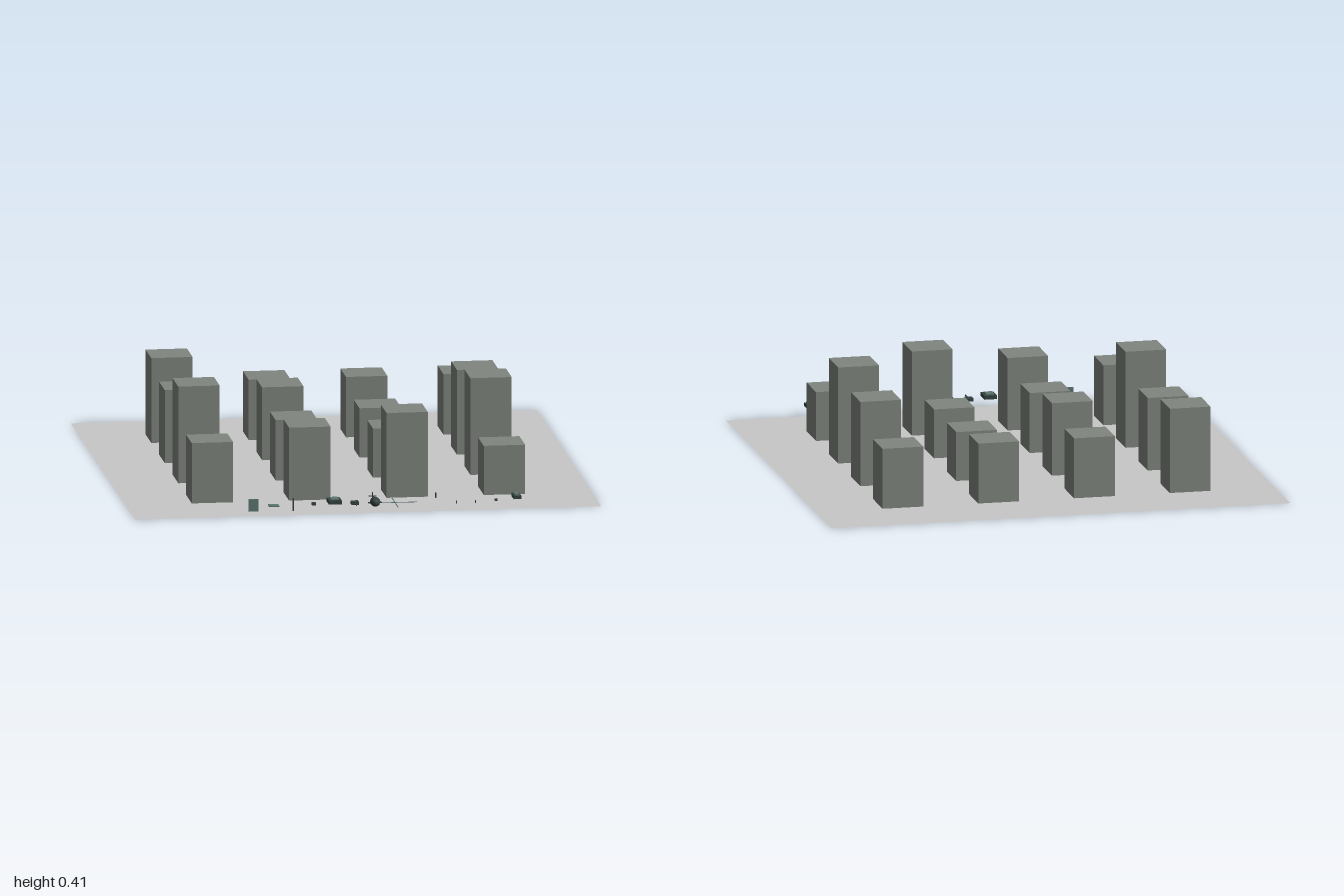
import * as THREE from 'three';

export function createModel() {
  const model = new THREE.Group();
  const mat = (name, color, side = THREE.FrontSide) => {
    const m = new THREE.MeshStandardMaterial({ color, side });
    m.name = name;
    return m;
  };
  const concrete = mat('concrete', 0xc8c8c8, THREE.DoubleSide);
  const tower = mat('tower grey', 0x80857f);
  const dark = mat('dark slate', 0x33423f);
  const teal = mat('teal grey', 0x5c7670);

  const add = (name, geometry, material, x, y, z, parent = model) => {
    const mesh = new THREE.Mesh(geometry, material);
    mesh.name = name;
    mesh.position.set(x, y, z);
    parent.add(mesh);
    return mesh;
  };
  const box = (name, material, w, h, d, x, y, z, parent) =>
    add(name, new THREE.BoxGeometry(w, h, d), material, x, y, z, parent);

  // Flat ground sheet
  const ground = new THREE.PlaneGeometry(1.94, 1.93).rotateX(-Math.PI / 2);
  add('ground', ground, concrete, 0, 0, -0.035);

  // City blocks: heights by row, back to front
  const xs = [-0.61, -0.205, 0.2, 0.605];
  const zs = [-0.642, -0.238, 0.168, 0.572];
  const heights = [
    [0.36, 0.257, 0.257, 0.257],
    [0.31, 0.31, 0.21, 0.36],
    [0.41, 0.257, 0.21, 0.41],
    [0.257, 0.31, 0.36, 0.21],
  ];
  heights.forEach((row, r) => row.forEach((h, c) =>
    box('building', tower, 0.172, h - 0.003, 0.172, xs[c], h / 2 + 0.0015, zs[r])));

  // Row of small loose parts along the front edge
  const z = 0.908;
  box('uprightPanel', teal, 0.042, 0.052, 0.004, -0.474, 0.041, z);
  box('flatPanel', teal, 0.042, 0.004, 0.042, -0.39, 0.038, z);
  box('post', dark, 0.006, 0.052, 0.006, -0.308, 0.04, z);
  box('smallBlock', dark, 0.016, 0.012, 0.01, -0.223, 0.04, z);

  // Arched cabin with a lighter roof plate
  const cabin = new THREE.Group();
  cabin.name = 'cabin';
  cabin.position.set(-0.138, 0.05, z);
  model.add(cabin);
  box('cabinBody', dark, 0.054, 0.016, 0.07, 0, 0, 0, cabin);
  box('cabinRoof', teal, 0.034, 0.005, 0.044, 0, 0.0105, 0, cabin);

  // Turret with a forward barrel
  box('turret', dark, 0.03, 0.013, 0.034, -0.053, 0.04, z);
  box('barrel', dark, 0.004, 0.004, 0.045, -0.053, 0.042, 0.947);

  // Helicopter fuselage, tail boom and fins
  const helicopter = new THREE.Group();
  helicopter.name = 'helicopter';
  helicopter.position.set(0.032, 0.042, z);
  model.add(helicopter);
  const body = add('fuselage', new THREE.SphereGeometry(1, 8, 6), dark, 0, 0, 0, helicopter);
  body.scale.set(0.022, 0.019, 0.04);
  box('stubWing', dark, 0.056, 0.004, 0.014, 0, -0.004, 0, helicopter);
  const boom = new THREE.CylinderGeometry(0.003, 0.008, 0.056, 6).rotateX(-Math.PI / 2);
  add('tailBoom', boom, dark, 0, 0.005, -0.054, helicopter);
  box('tailFin', dark, 0.004, 0.022, 0.012, 0, 0.012, -0.077, helicopter);
  box('tailPlane', dark, 0.032, 0.003, 0.008, 0, 0.008, -0.076, helicopter);
  box('noseProbe', dark, 0.004, 0.004, 0.022, 0, -0.002, 0.048, helicopter);

  // Four-bladed rotor laid flat
  box('rotorBlades', teal, 0.182, 0.002, 0.004, 0.115, 0.036, z);
  box('rotorBlades', teal, 0.004, 0.002, 0.182, 0.115, 0.036, 0.909);

  // Tiny fittings
  box('tailRotor', dark, 0.005, 0.022, 0.006, 0.285, 0.062, z);
  for (const x of [0.37, 0.45]) box('pin', dark, 0.004, 0.012, 0.004, x, 0.03, z);
  box('bracket', dark, 0.01, 0.008, 0.014, 0.535, 0.036, z);

  // Cockpit canopy
  box('canopy', dark, 0.032, 0.014, 0.064, 0.62, 0.049, z);
  box('canopyGlass', teal, 0.02, 0.005, 0.044, 0.62, 0.0585, z);

  return model;
}
